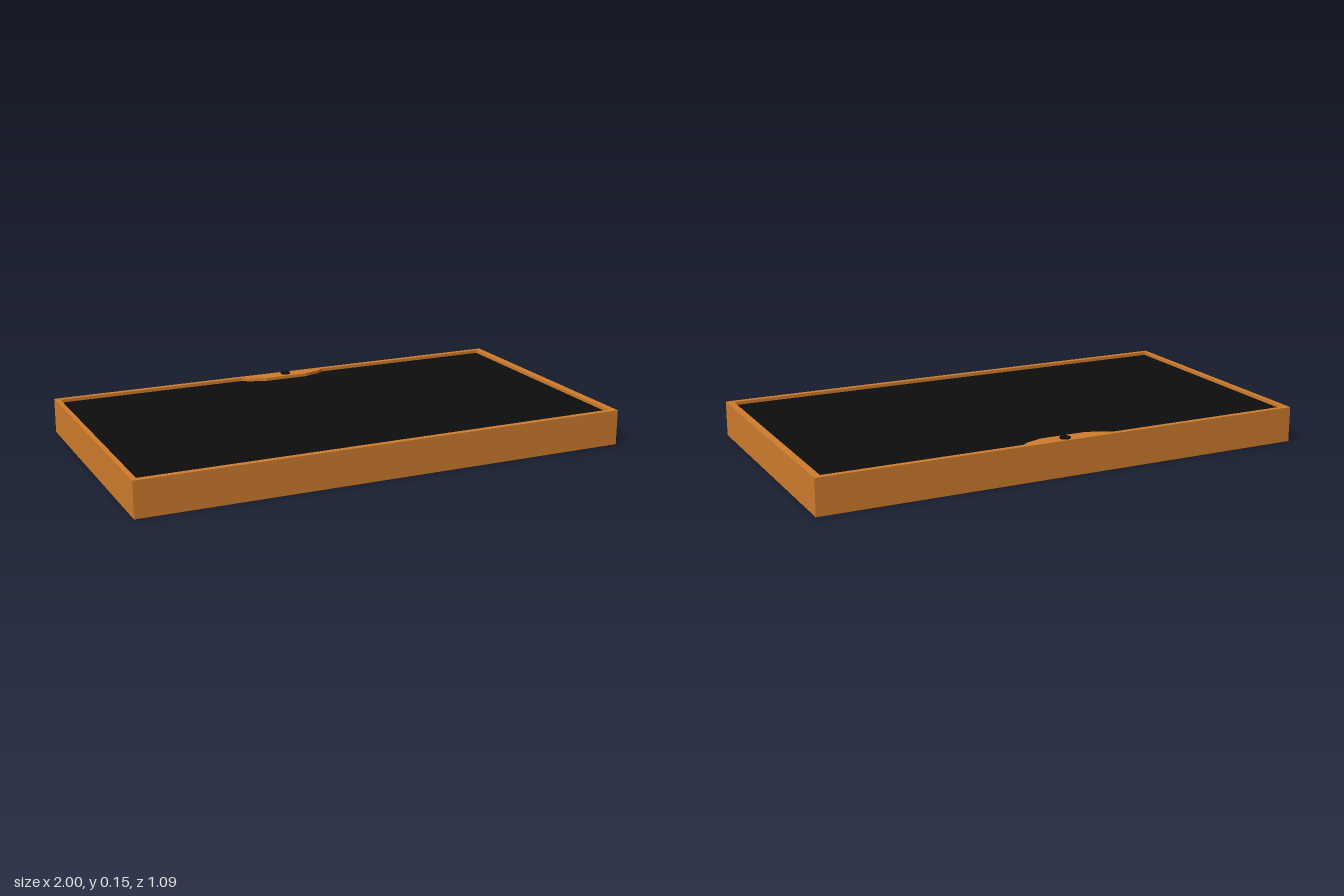
import * as THREE from 'three';

const WIDTH = 2, DEPTH = 1.09, HEIGHT = 0.142, RECESS = 0.015;

export function createModel() {
  const model = new THREE.Group();
  const orange = new THREE.MeshStandardMaterial({ color: 0xd27d2d, flatShading: true });
  const black = new THREE.MeshStandardMaterial({ color: 0x0d0d0d, flatShading: true });

  const add = (name, geometry, material, x, y, z) => {
    const mesh = new THREE.Mesh(geometry, material);
    mesh.name = name;
    mesh.position.set(x, y, z);
    model.add(mesh);
  };

  // Solid lower body
  const baseHeight = HEIGHT - RECESS;
  add('body', new THREE.BoxGeometry(WIDTH, baseHeight, DEPTH), orange, 0, baseHeight / 2, 0);

  // Raised rim, its opening notched by the tab at the back (shape y is -z)
  const w = WIDTH / 2, d = DEPTH / 2;
  const outline = new THREE.Shape([[-w, -d], [w, -d], [w, d], [-w, d]].map(p => new THREE.Vector2(...p)));
  const opening = [
    [-0.98, -0.522], [-0.98, 0.523],
    [-0.19, 0.523], [-0.162, 0.504], [-0.092, 0.48],
    [0.095, 0.48], [0.165, 0.504], [0.19, 0.523],
    [0.972, 0.523], [0.972, -0.522],
  ];
  outline.holes.push(new THREE.Path(opening.map(p => new THREE.Vector2(...p))));
  const rim = new THREE.ExtrudeGeometry(outline, { depth: RECESS, bevelEnabled: false });
  rim.rotateX(-Math.PI / 2);
  add('rimWithTab', rim, orange, 0, baseHeight, 0);

  // Dark panel on the floor of the recess, following the opening
  const panel = new THREE.ShapeGeometry(new THREE.Shape(opening.map(p => new THREE.Vector2(...p))));
  panel.rotateX(-Math.PI / 2);
  add('panel', panel, black, 0, baseHeight + 0.002, 0);

  // Small round button on the tab
  add('button', new THREE.CylinderGeometry(0.021, 0.021, 0.008, 24), black, 0.012, HEIGHT + 0.001, -0.516);

  return model;
}
